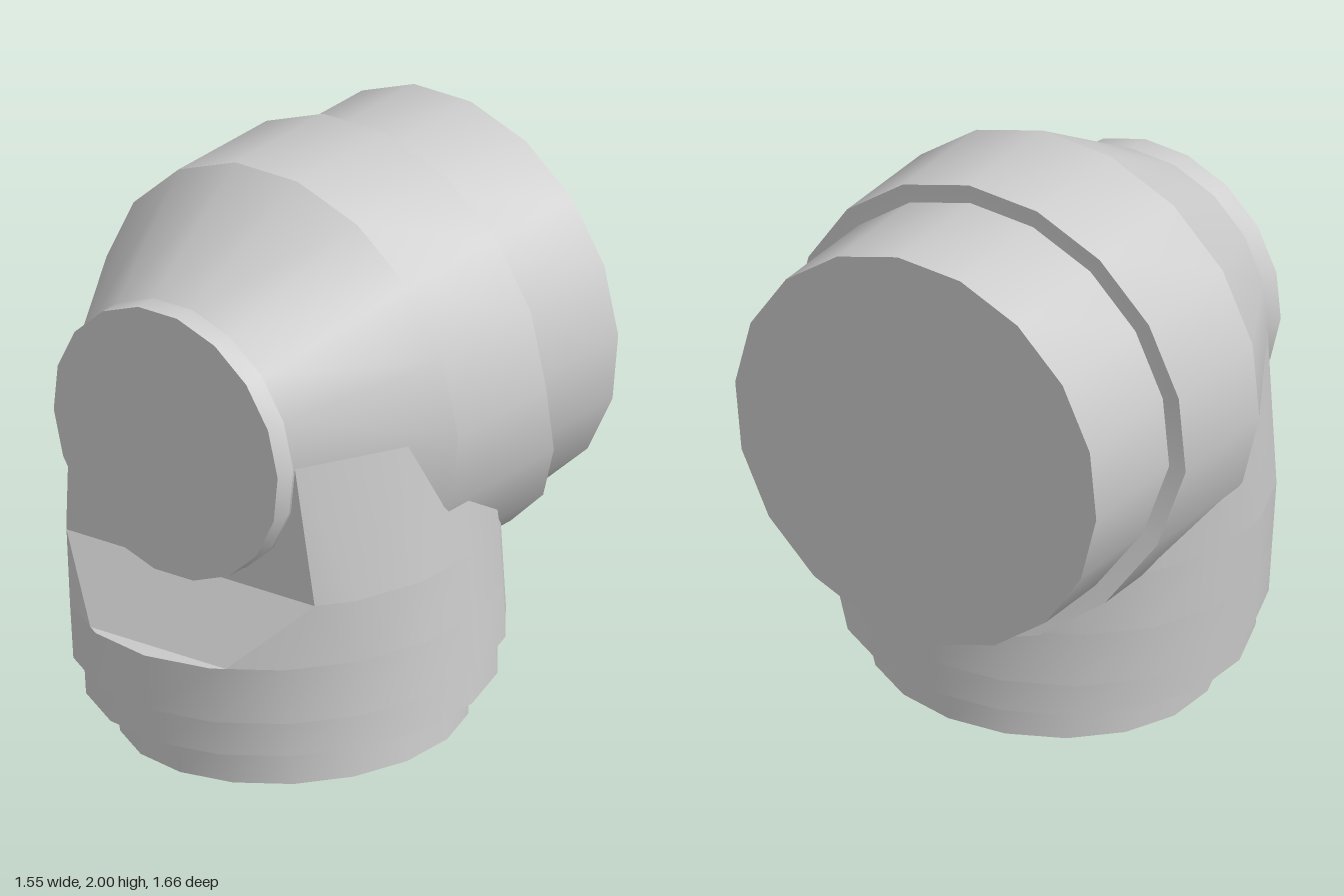
import * as THREE from 'three';
import { toCreasedNormals } from 'three/addons/utils/BufferGeometryUtils.js';
import { ConvexGeometry } from 'three/addons/geometries/ConvexGeometry.js';

const SIDES = 18;
const AXIS_Z = 0.105;   // upright pipe axis
const AXIS_Y = 1.186;   // horizontal pipe axis
const R = 0.725;        // upright body radius
const FLAT_Z = 0.575;   // flat front face of the upright body

const coneRadius = (z) => (z < 0.08 ? 0.775 : 0.775 - (z - 0.08) * 0.58);

// Polygon section of the upright body at height y, cut off in front of zMax
function section(y, zMax, limit = () => Infinity) {
  const pts = [];
  const add = (x, z) => {
    const m = Math.min(Math.abs(x), limit(z));
    pts.push(new THREE.Vector3(Math.sign(x) * m, y, z));
  };
  const at = (i) => {
    const a = (i / SIDES) * Math.PI * 2;
    return [R * Math.sin(a), AXIS_Z + R * Math.cos(a)];
  };
  for (let i = 0; i < SIDES; i++) {
    const [x0, z0] = at(i);
    const [x1, z1] = at(i + 1);
    if (z0 <= zMax) add(x0, z0);
    if ((z0 > zMax) !== (z1 > zMax)) {
      const t = (zMax - z0) / (z1 - z0);
      add(x0 + (x1 - x0) * t, zMax);
    }
  }
  return pts;
}

export function createModel() {
  const model = new THREE.Group();
  model.name = 'pipeElbow';
  const material = new THREE.MeshStandardMaterial({ color: 0xcccccc });

  const joint = new THREE.Group();
  joint.name = 'joint';
  joint.position.set(0.08, 0.045, 0);
  joint.rotation.set(0, -0.018, 0.0733);
  model.add(joint);

  const add = (name, geometry) => {
    const mesh = new THREE.Mesh(toCreasedNormals(geometry, 0.45), material);
    mesh.name = name;
    joint.add(mesh);
  };

  // Upright pipe rings
  const upright = (name, r, y0, y1) => {
    const g = new THREE.CylinderGeometry(r, r, y1 - y0, SIDES);
    g.translate(0, (y0 + y1) / 2, AXIS_Z);
    add(name, g);
  };
  upright('baseSpigot', 0.585, 0, 0.2);
  upright('baseRing', 0.69, 0.15, 0.3);
  upright('lowerBody', R, 0.284, 0.48);

  // Upright body: sloped shoulder, then a flat front tapering into the cone
  add('frontShoulder', new ConvexGeometry([...section(0.48, 0.76), ...section(0.7, FLAT_Z)]));
  add('upperBody', new ConvexGeometry([...section(0.7, FLAT_Z), ...section(AXIS_Y, FLAT_Z, coneRadius)]));

  // Horizontal pipe
  const horizontal = (rFront, rBack, zFront, zBack) => {
    const g = new THREE.CylinderGeometry(rFront, rBack, zFront - zBack, SIDES, 1, false, Math.PI / 2);
    g.rotateX(Math.PI / 2);
    g.translate(0, AXIS_Y, (zFront + zBack) / 2);
    return g;
  };
  add('frontCap', horizontal(0.485, 0.485, 0.66, 0.57));
  add('frontCone', horizontal(0.485, 0.775, 0.58, 0.08));
  add('backPipe', horizontal(0.71, 0.71, -0.3, -0.815));

  // Main collar, its lower rear edge raked back to the upright body
  const collar = horizontal(0.775, 0.775, 0.08, -0.37);
  const p = collar.attributes.position;
  for (let i = 0; i < p.count; i++) {
    const drop = 1.12 - p.getY(i);
    if (p.getZ(i) < -0.3 && drop > 0) p.setZ(i, -0.37 - drop * 0.36);
  }
  add('mainCollar', collar);

  return model;
}
